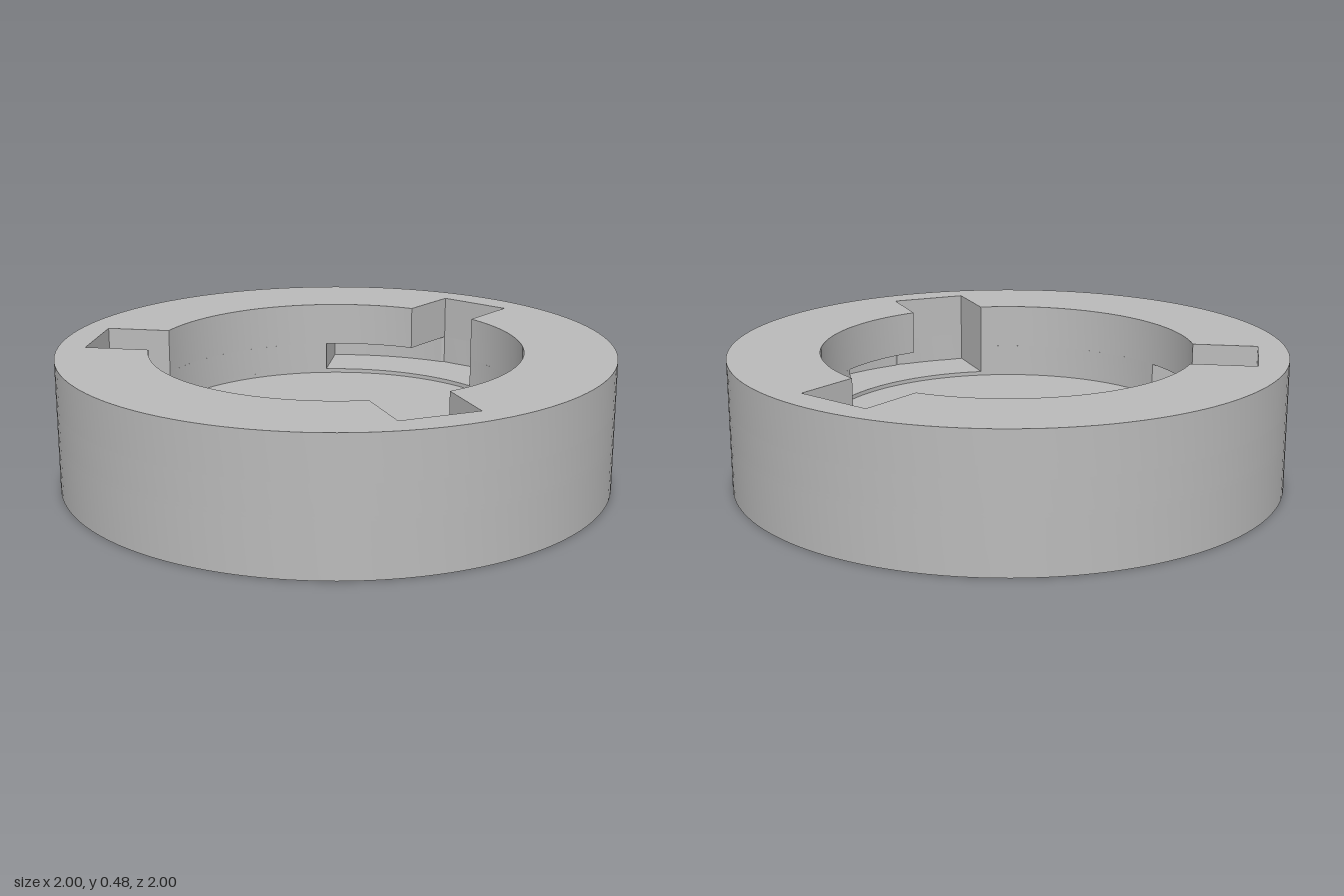
import * as THREE from 'three';
import { toCreasedNormals } from 'three/addons/utils/BufferGeometryUtils.js';

const OUTER = 1, BORE = 0.672;          // radii of the body and the central opening
const SLOT_END = 0.89, HALF = 0.142;    // reach and half width of the entry slots
const GROOVE = 0.894;                   // outer radius of the locking grooves
const TWIST = Math.PI / 6;              // how far each groove turns past its slot
const THIRD = Math.PI * 2 / 3;
const Y = { floor: 0.195, grooveFloor: 0.21, grooveTop: 0.316, top: 0.478 };

const polar = (r, a) => new THREE.Vector2(r * Math.cos(a), r * Math.sin(a));
const arc = (r, from, to, n) =>
  Array.from({ length: n + 1 }, (_, i) => polar(r, from + (to - from) * i / n));
const circle = (r) => arc(r, 0, Math.PI * 2, 120).slice(0, -1);

// Repeats one third of an outline around the axis
function threefold(points) {
  const all = [];
  for (let k = 0; k < 3; k++) {
    for (const p of points) all.push(p.clone().rotateAround(new THREE.Vector2(), k * THIRD));
  }
  return all;
}

// Opening with three straight entry slots
function slotOutline() {
  const a = Math.asin(HALF / BORE);
  return threefold([
    new THREE.Vector2(SLOT_END, -HALF),
    new THREE.Vector2(SLOT_END, HALF),
    ...arc(BORE, a, THIRD - a, 32),
  ]);
}

// Opening with the slots widened sideways into twist-lock grooves
function grooveOutline() {
  const a = Math.asin(HALF / BORE);
  const b = Math.asin(HALF / GROOVE);
  const c = Math.acos(SLOT_END / GROOVE);
  return threefold([
    new THREE.Vector2(SLOT_END, -HALF),
    ...arc(GROOVE, -c, c, 6),
    new THREE.Vector2(SLOT_END, HALF),
    ...arc(GROOVE, b + 0.01, TWIST + b, 14),
    ...arc(BORE, TWIST + a, THIRD - a, 18),
  ]);
}

// Upright layer of the body between two heights, with an optional opening
function layer(name, y0, y1, material, hole) {
  const shape = new THREE.Shape(circle(OUTER));
  if (hole) shape.holes.push(new THREE.Path(hole));
  const extruded = new THREE.ExtrudeGeometry(shape, { depth: y1 - y0, bevelEnabled: false });
  extruded.rotateX(-Math.PI / 2);
  const mesh = new THREE.Mesh(toCreasedNormals(extruded, 0.4), material);
  mesh.position.y = y0;
  mesh.name = name;
  return mesh;
}

export function createModel() {
  const grey = new THREE.MeshStandardMaterial({ color: 0xbababa });
  grey.name = 'grey';

  const model = new THREE.Group();
  model.name = 'bayonetSocket';
  model.add(
    layer('base', 0, Y.floor, grey),
    layer('floorStep', Y.floor, Y.grooveFloor, grey, circle(BORE)),
    layer('lockingGrooves', Y.grooveFloor, Y.grooveTop, grey, grooveOutline()),
    layer('slottedRim', Y.grooveTop, Y.top, grey, slotOutline()),
  );
  return model;
}
